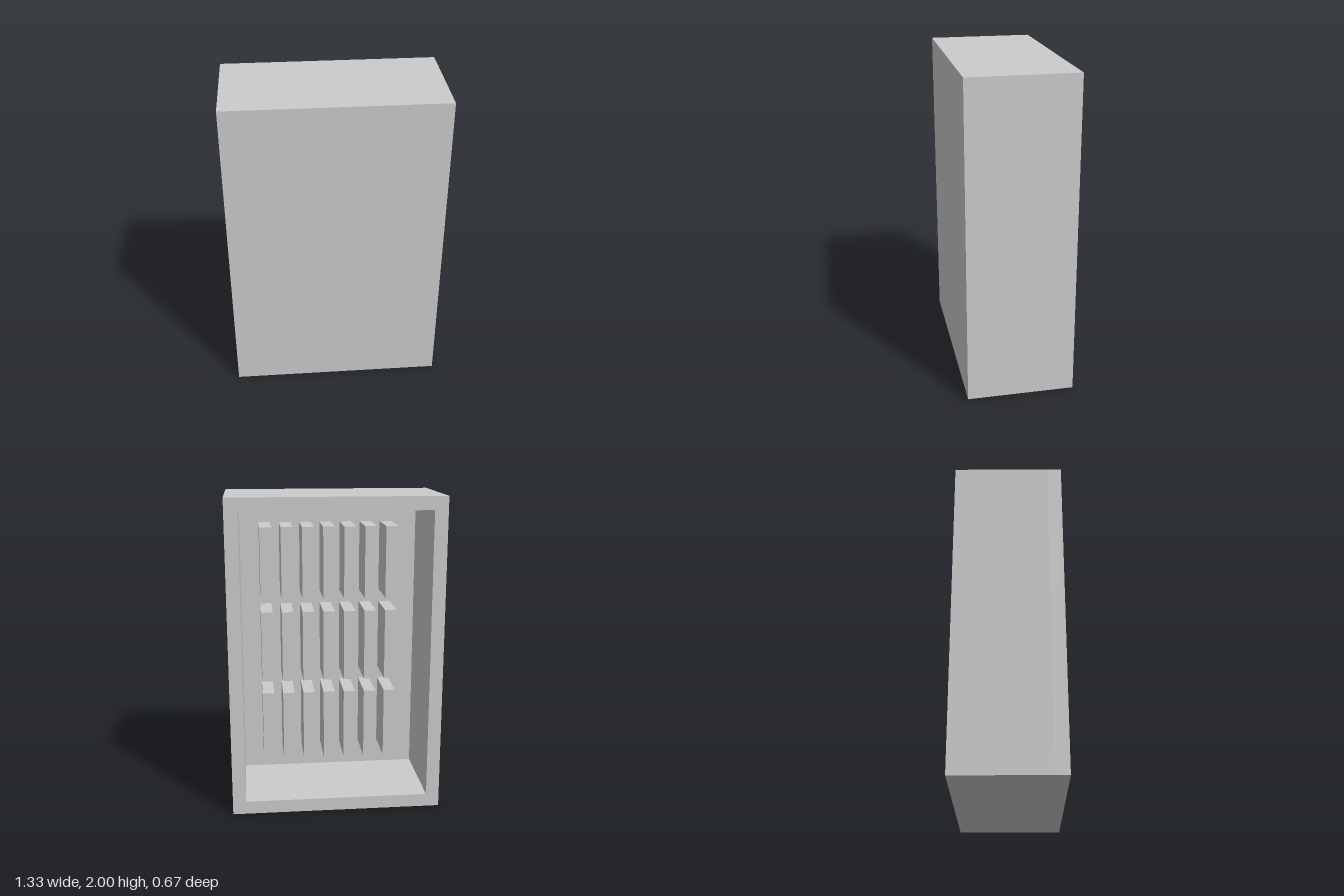
import * as THREE from 'three';

const U = 1 / 12; // base unit: the cabinet is 16 x 24 x 8 units

export function createModel() {
  const model = new THREE.Group();
  const material = new THREE.MeshStandardMaterial({ color: 0xcccccc, flatShading: true });

  // Box given by its minimum corner and size, in units
  function addBox(name, x, y, z, w, h, d, parent = model) {
    const mesh = new THREE.Mesh(new THREE.BoxGeometry(w * U, h * U, d * U), material);
    mesh.position.set((x + w / 2) * U, (y + h / 2) * U, (z + d / 2) * U);
    mesh.name = name;
    parent.add(mesh);
  }

  // Rectangular surround, open at the back
  const outline = new THREE.Shape([[-8, 0], [8, 0], [8, 24], [-8, 24]]
    .map(([x, y]) => new THREE.Vector2(x * U, y * U)));
  outline.holes.push(new THREE.Path([[-7, 1], [-7, 23], [7, 23], [7, 1]]
    .map(([x, y]) => new THREE.Vector2(x * U, y * U))));
  const surround = new THREE.Mesh(
    new THREE.ExtrudeGeometry(outline, { depth: 7 * U, bevelEnabled: false }), material);
  surround.position.z = -4 * U;
  surround.name = 'cabinetSurround';
  model.add(surround);

  // Solid front panel
  addBox('frontPanel', -8, 0, 3, 16, 24, 1);

  // Three rows of seven upright blocks standing off the panel's inner side
  for (let row = 0; row < 3; row++) {
    const group = new THREE.Group();
    group.name = `blockRow${row + 1}`;
    for (let i = 0; i < 7; i++) {
      addBox('uprightBlock', -5 + 1.6 * i, 3 + 6.5 * row, -0.5, 0.9, 5.5, 3.5, group);
    }
    model.add(group);
  }

  return model;
}
